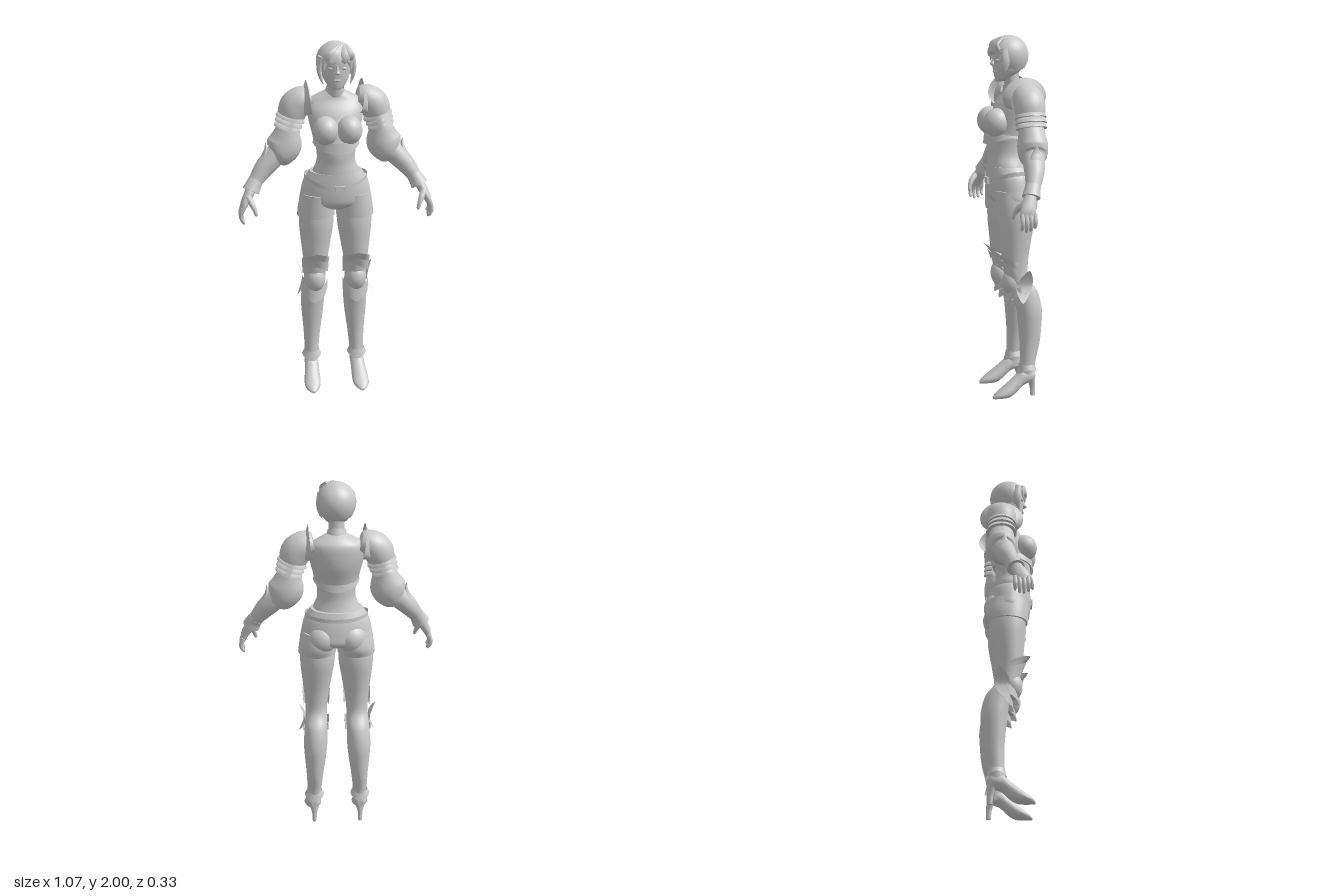
import * as THREE from 'three';

const V = (x, y, z) => new THREE.Vector3(x, y, z);
const UP = V(0, 1, 0), FRONT = V(0, 0, 1);

function buildGeometry(pos, idx) {
  const g = new THREE.BufferGeometry();
  g.setAttribute('position', new THREE.Float32BufferAttribute(pos, 3));
  g.setIndex(idx);
  g.computeVertexNormals();
  return g;
}

// Smooth loft. Section: [x, y, z, side radius, front radius, back radius]; axis fixes the ring plane.
function loft(sections, { axis = null, ref = FRONT, n = 28, steps = 5 } = {}) {
  const path = new THREE.CatmullRomCurve3(sections.map(s => V(s[0], s[1], s[2])), false, 'catmullrom');
  const size = new THREE.CatmullRomCurve3(sections.map(s => V(s[3], s[4] ?? s[3], s[5] ?? s[4] ?? s[3])), false, 'catmullrom');
  const rows = (sections.length - 1) * steps, pos = [], idx = [];
  for (let i = 0; i <= rows; i++) {
    const c = path.getPoint(i / rows), r = size.getPoint(i / rows);
    const t = axis ?? path.getTangent(i / rows);
    const side = V(0, 0, 0).crossVectors(t, ref).normalize();
    const front = V(0, 0, 0).crossVectors(side, t).normalize();
    for (let j = 0; j < n; j++) {
      const a = j / n * Math.PI * 2, s = Math.sin(a);
      const p = c.clone().addScaledVector(side, Math.max(r.x, 0.001) * Math.cos(a))
        .addScaledVector(front, Math.max(s > 0 ? r.y : r.z, 0.001) * s);
      pos.push(p.x, p.y, p.z);
    }
  }
  for (let i = 0; i < rows; i++) for (let j = 0; j < n; j++) {
    const a = i * n + j, c = i * n + (j + 1) % n;
    idx.push(a, a + n, c, a + n, c + n, c);
  }
  // Caps on both ends, with their own vertices for a crisp edge
  for (const row of [0, rows]) {
    const base = pos.length / 3, e = path.getPoint(row / rows);
    for (let k = 0; k < n * 3; k++) pos.push(pos[row * n * 3 + k]);
    pos.push(e.x, e.y, e.z);
    for (let j = 0; j < n; j++) {
      const a = base + j, b = base + (j + 1) % n;
      if (row) idx.push(base + n, a, b); else idx.push(base + n, b, a);
    }
  }
  return buildGeometry(pos, idx);
}

// Thin curved plate from f(u, v) -> [x, y, z]
function plate(f, nu = 32, nv = 4) {
  const pos = [], idx = [];
  for (let i = 0; i <= nu; i++) for (let j = 0; j <= nv; j++) pos.push(...f(i / nu, j / nv));
  for (let i = 0; i < nu; i++) for (let j = 0; j < nv; j++) {
    const a = i * (nv + 1) + j, b = a + nv + 1;
    idx.push(a, b, a + 1, b, b + 1, a + 1);
  }
  return buildGeometry(pos, idx);
}

const ellipsoid = (x, y, z, rx, ry, rz) =>
  new THREE.SphereGeometry(1, 32, 20).scale(rx, ry, rz).translate(x, y, z);

// Pointed armour band around the front of a leg
const chevron = (cx, cz, y, h, tip, r, flare, span = 1.5) => plate((u, v) => {
  const k = u * 2 - 1, m = 1 - Math.abs(k), a = k * span, R = r + flare * v * m;
  return [cx + R * Math.sin(a), y + tip * m + h * v, cz + R * Math.cos(a)];
});

export function createModel() {
  const model = new THREE.Group();
  const grey = new THREE.MeshStandardMaterial({ color: 0xcccccc, side: THREE.DoubleSide });
  grey.name = 'plain grey';
  const add = (name, geo) => {
    const m = new THREE.Mesh(geo, grey);
    m.name = name;
    model.add(m);
  };
  const pair = (name, geo) => {
    add(name + 'Left', geo);
    const g = geo.clone().scale(-1, 1, 1), ix = g.index.array;
    for (let i = 0; i < ix.length; i += 3) [ix[i], ix[i + 1]] = [ix[i + 1], ix[i]];
    add(name + 'Right', g);
  };
  const level = { axis: UP, n: 40 };

  // Head, face and neck
  add('head', loft([[0, 1.752, .058, .016, .016, .03], [0, 1.77, .04, .044, .038, .05], [0, 1.81, .01, .07, .073, .075],
    [0, 1.86, 0, .08, .087, .09], [0, 1.92, 0, .082, .086, .09], [0, 1.975, 0, .045, .045, .05]], level));
  add('nose', loft([[0, 1.89, .083, .006, .006], [0, 1.862, .088, .009, .01], [0, 1.845, .091, .014, .015], [0, 1.836, .085, .009, .008]], level));
  add('lips', ellipsoid(0, 1.805, .079, .02, .007, .009));
  pair('eye', ellipsoid(.033, 1.868, .072, .018, .009, .012));
  add('neck', loft([[0, 1.7, -.03, .05, .045, .05], [0, 1.75, -.015, .042, .04, .045], [0, 1.82, -.005, .045, .04, .05]], level));
  add('collar', plate((u, v) => {
    const a = u * Math.PI * 2, r = .058 - .01 * v;
    return [r * Math.sin(a), 1.7 + v * (.048 - .018 * Math.cos(a)), -.03 + .015 * v + r * Math.cos(a)];
  }, 40));

  // Short hair: ragged cap, fringe and side locks
  add('hairCap', plate((u, v) => {
    const a = (u * 2 - 1) * Math.PI, side = THREE.MathUtils.smoothstep(Math.abs(a), .55, 1.25);
    const th = v * (1.4 + side * .95 + .07 * Math.cos(a * 11));
    const r = th < Math.PI / 2 ? Math.sin(th) : 1 - .4 * Math.cos(th) ** 2;
    return [.104 * r * Math.sin(a), 1.895 + .105 * Math.cos(th), .107 * r * Math.cos(a)];
  }, 96, 16));
  for (const [x0, x1, y1, z1] of [[.03, -.035, 1.885, .102], [.02, -.07, 1.86, .083], [.035, .045, 1.9, .098], [.045, .075, 1.865, .075]])
    add('fringe', loft([[x0, 1.985, .045, .012, .008], [(x0 + x1) / 2, 1.945, .085, .027, .013],
      [x1 * .9, 1.91, z1 - .004, .02, .01], [x1, y1, z1, .002, .002]], { n: 12 }));
  pair('sideLock', loft([[.08, 1.93, .05, .018, .025], [.092, 1.87, .045, .014, .025], [.086, 1.82, .05, .01, .017], [.072, 1.782, .058, .002, .002]], { n: 12 }));

  // Torso and breastplate
  add('abdomen', loft([[0, 1.25, .01, .14, .11, .115], [0, 1.3, .015, .125, .105, .1], [0, 1.35, .02, .106, .1, .095],
    [0, 1.4, .02, .105, .103, .095], [0, 1.46, .02, .115, .1, .1]], level));
  add('breastplate', loft([[0, 1.44, .02, .119, .108, .108], [0, 1.49, .015, .126, .1, .118], [0, 1.56, 0, .142, .1, .125],
    [0, 1.63, -.02, .153, .09, .112], [0, 1.68, -.035, .138, .07, .092], [0, 1.71, -.037, .09, .062, .068], [0, 1.73, -.03, .05, .05, .048]], level));
  pair('bust', ellipsoid(.064, 1.535, .085, .07, .078, .074));
  add('breastplateHem', plate((u, v) => {
    const a = u * Math.PI * 2, c = Math.cos(a), k = .97 + .05 * v;
    return [.124 * k * Math.sin(a), 1.475 - v * (.02 + .04 * Math.abs(c) ** 1.5), .02 + (c > 0 ? .118 : .115) * k * c];
  }, 64));

  // Shorts and belt
  add('shorts', loft([[0, 1.295, .005, .142, .115, .105], [0, 1.24, 0, .176, .122, .118], [0, 1.17, 0, .193, .121, .13],
    [0, 1.115, 0, .199, .108, .128], [0, 1.08, 0, .16, .06, .07]], level));
  pair('shortsLeg', loft([[.108, 1.038, -.005, .104, .105, .106], [.106, 1.09, -.005, .1, .108, .124], [.1, 1.17, 0, .09, .106, .118]], level));
  pair('buttock', ellipsoid(.08, 1.14, -.06, .082, .085, .08));
  add('belt', plate((u, v) => {
    const a = u * Math.PI * 2, s = Math.sin(a), c = Math.cos(a);
    return [.173 * s, 1.205 + .05 * s * s + (c < 0 ? .045 * c * c : 0) + v * .022, (c > 0 ? .127 : .124) * c];
  }, 64));
  add('buckle', new THREE.BoxGeometry(.055, .035, .012).translate(.01, 1.215, .127));

  // Legs
  pair('leg', loft([[.105, 1.12, -.005, .09, .09, .1], [.106, 1, -.01, .096, .1, .1], [.11, .88, -.005, .082, .084, .085],
    [.113, .78, 0, .068, .068, .075], [.115, .68, -.012, .06, .062, .064], [.118, .6, -.055, .063, .065, .074],
    [.122, .5, -.076, .066, .066, .077], [.124, .4, -.08, .058, .06, .07], [.127, .3, -.077, .047, .05, .062],
    [.13, .2, -.07, .04, .043, .045], [.131, .1, -.065, .037, .045, .042]], level));

  // Knee armour
  pair('upperKneePlate', chevron(.114, -.005, .73, .05, .06, .074, .045));
  pair('middleKneePlate', chevron(.114, -.005, .69, .05, .06, .073, .022));
  pair('kneeCap', ellipsoid(.115, .66, .015, .056, .075, .056));
  pair('lowerKneePlate', chevron(.116, -.03, .65, -.05, -.05, .074, .006, 1.4));
  pair('shinPoint', chevron(.119, -.055, .61, -.045, -.055, .073, .004, 1.4));
  pair('kneeWing', plate((u, v) => {
    const w = .045 * Math.sin(Math.PI * u) ** .8;
    return [.178 + .036 * Math.abs(2 * u - 1) ** 1.5, .555 + .185 * u, -.02 - .035 * u + w * (2 * v - 1)];
  }, 20, 6));

  // Heeled shoes
  pair('ankleCuff', plate((u, v) => {
    const a = u * Math.PI * 2, s = Math.sin(a), r = .043 + .012 * (1 - v);
    return [.131 + r * s, .135 + v * .055 + .03 * s * s * (1 - v), -.067 + r * Math.cos(a)];
  }, 40));
  pair('shoe', loft([[.132, .12, -.112, .018, .02, .02], [.132, .12, -.09, .036, .04, .036], [.133, .11, -.04, .04, .05, .045],
    [.135, .078, 0, .042, .047, .05], [.138, .047, .04, .046, .045, .042], [.14, .03, .08, .044, .03, .028],
    [.141, .02, .112, .03, .016, .018], [.141, .012, .132, .01, .005, .01]], { axis: FRONT, ref: UP }));
  pair('heel', loft([[.132, .11, -.092, .03, .03, .02], [.132, .055, -.098, .015, .016, .015], [.132, 0, -.1, .011, .012, .014]], { axis: UP }));

  // Shoulder armour
  pair('pauldron', loft([[.125, 1.69, -.05, .05, .06], [.17, 1.68, -.05, .072, .08], [.212, 1.645, -.05, .083, .084],
    [.235, 1.595, -.05, .075, .08], [.252, 1.54, -.05, .058, .065]]));
  for (let i = 0; i < 3; i++) {
    const x = .229 + i * .009, y = 1.607 - i * .027;
    pair('armBand' + (i + 1), loft([[x, y, -.05, .07 - i * .004, .076], [x + .011, y - .034, -.05, .082 - i * .004, .084]], { steps: 2 }));
  }
  pair('shoulderFin', plate((u, v) => {
    const k = u * 2 - 1, a = k * 2, r = .08 + v * .056 * (1 - k ** 4);
    return [.172 - v * (.02 + .025 * k * k), 1.645 + r * Math.cos(a), -.045 + r * Math.sin(a)];
  }, 40));

  // Puffed sleeves, forearms and cuffs
  pair('sleeve', loft([[.25, 1.55, -.05, .052, .06], [.258, 1.5, -.05, .07, .07], [.272, 1.435, -.05, .096, .08],
    [.3, 1.385, -.045, .085, .076], [.33, 1.358, -.04, .055, .058]]));
  pair('forearm', loft([[.29, 1.41, -.045, .058], [.34, 1.357, -.036, .058], [.39, 1.305, -.023, .052], [.435, 1.245, -.002, .04], [.462, 1.2, .017, .033]]));
  pair('elbowPoint', loft([[.405, 1.325, -.025, .012, .03], [.385, 1.37, -.035, .016, .034], [.374, 1.41, -.038, .01, .02], [.377, 1.45, -.04, .001, .001]]));
  pair('wristCuff', loft([[.435, 1.245, -.002, .041], [.45, 1.222, .008, .043], [.465, 1.193, .018, .048]]));

  // Hands
  pair('palm', loft([[.46, 1.21, .016, .028, .03], [.482, 1.17, .032, .026, .036], [.503, 1.13, .044, .022, .043, .04], [.514, 1.095, .047, .013, .042, .04]]));
  for (let i = 0; i < 4; i++) {
    const z = .012 + i * .023, d = [.018, .004, 0, .01][i];
    pair('finger' + (i + 1), loft([[.512, 1.115, z, .012], [.524, 1.078, z, .0115], [.522, 1.05 + d / 2, z, .0105],
      [.512, 1.026 + d, z, .008], [.508, 1.018 + d, z, .003]], { n: 12 }));
  }
  pair('thumb', loft([[.482, 1.17, .055, .018], [.465, 1.14, .085, .016], [.452, 1.112, .1, .012], [.444, 1.085, .106, .009], [.442, 1.077, .107, .003]], { n: 12 }));

  return model;
}
